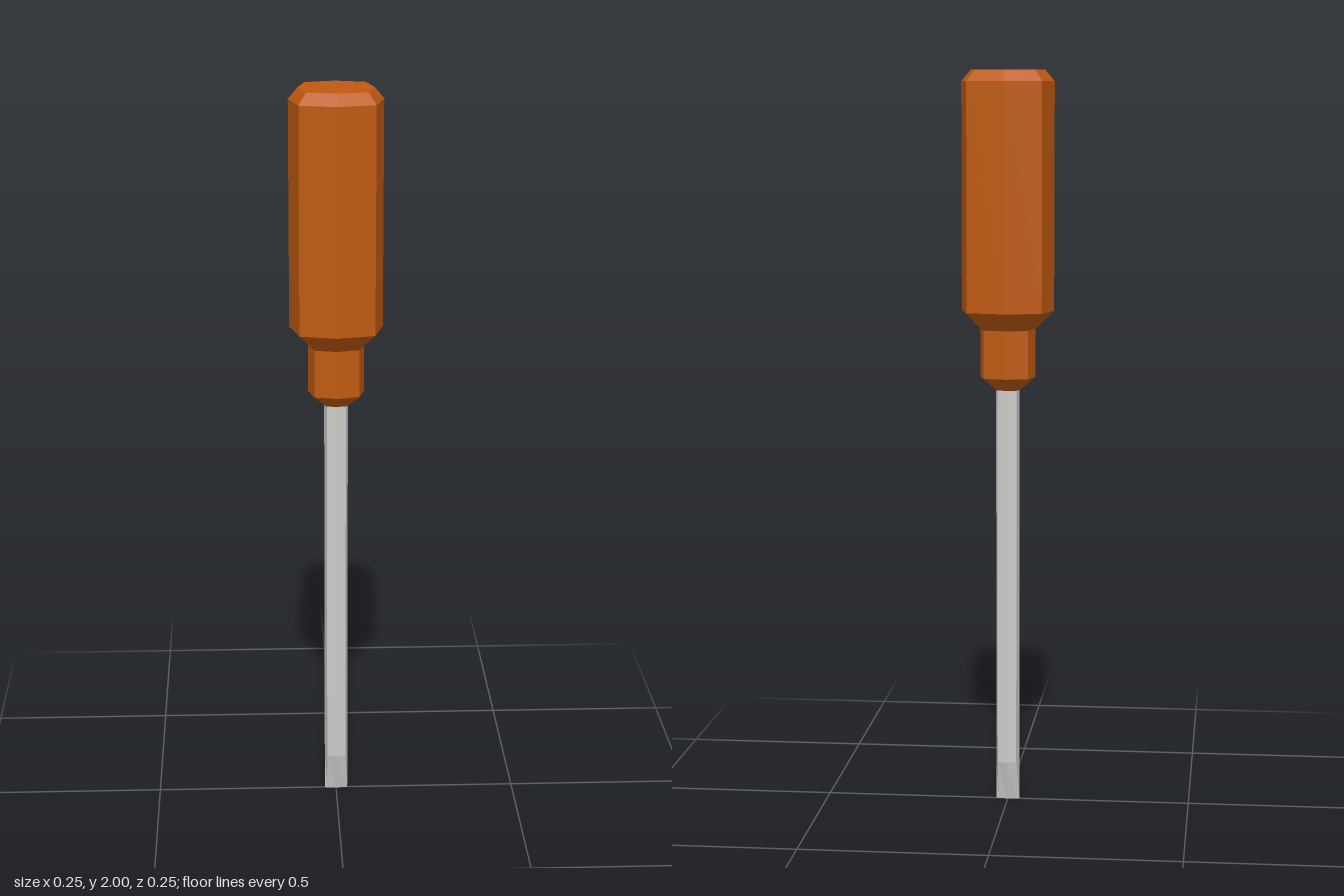
import * as THREE from 'three';

// Eight-sided lathe whose diagonal corners bulge slightly beyond a regular octagon.
function octagonLathe(profile) {
  const points = profile.map(([r, y]) => new THREE.Vector2(r, y));
  const geometry = new THREE.LatheGeometry(points, 8);
  const pos = geometry.attributes.position;
  const bulge = 0.1 * Math.SQRT2 / 0.125;
  for (let i = 0; i < pos.count; i++) {
    const isDiagonal = Math.floor(i / points.length) % 2 === 1;
    const k = isDiagonal ? bulge : 1;
    pos.setXYZ(i, pos.getX(i) * k, pos.getY(i), pos.getZ(i) * k);
  }
  return geometry;
}

function facetedMesh(name, geometry, color) {
  const faceted = geometry.toNonIndexed();
  faceted.computeVertexNormals();
  const mesh = new THREE.Mesh(faceted, new THREE.MeshStandardMaterial({ color, flatShading: true }));
  mesh.name = name;
  return mesh;
}

export function createModel() {
  const model = new THREE.Group();
  model.name = 'screwdriver';

  // Handle: chamfered grip above a narrower collar
  const handle = octagonLathe([
    [0, 1.145], [0.035, 1.145], [0.075, 1.18], [0.075, 1.31],
    [0.125, 1.36], [0.125, 1.97], [0.1, 2], [0, 2],
  ]);
  model.add(facetedMesh('handle', handle, 0xc05a10));

  // Shaft: its lowest ring is pinched front to back into a flat blade
  const shaft = octagonLathe([[0, 0], [0.032, 0], [0.032, 0.11], [0.032, 1.16]]);
  const pos = shaft.attributes.position;
  for (let i = 0; i < pos.count; i++) {
    if (pos.getY(i) < 0.01) pos.setZ(i, pos.getZ(i) * 0.13);
  }
  model.add(facetedMesh('shaftAndBlade', shaft, 0xcccccc));

  return model;
}
